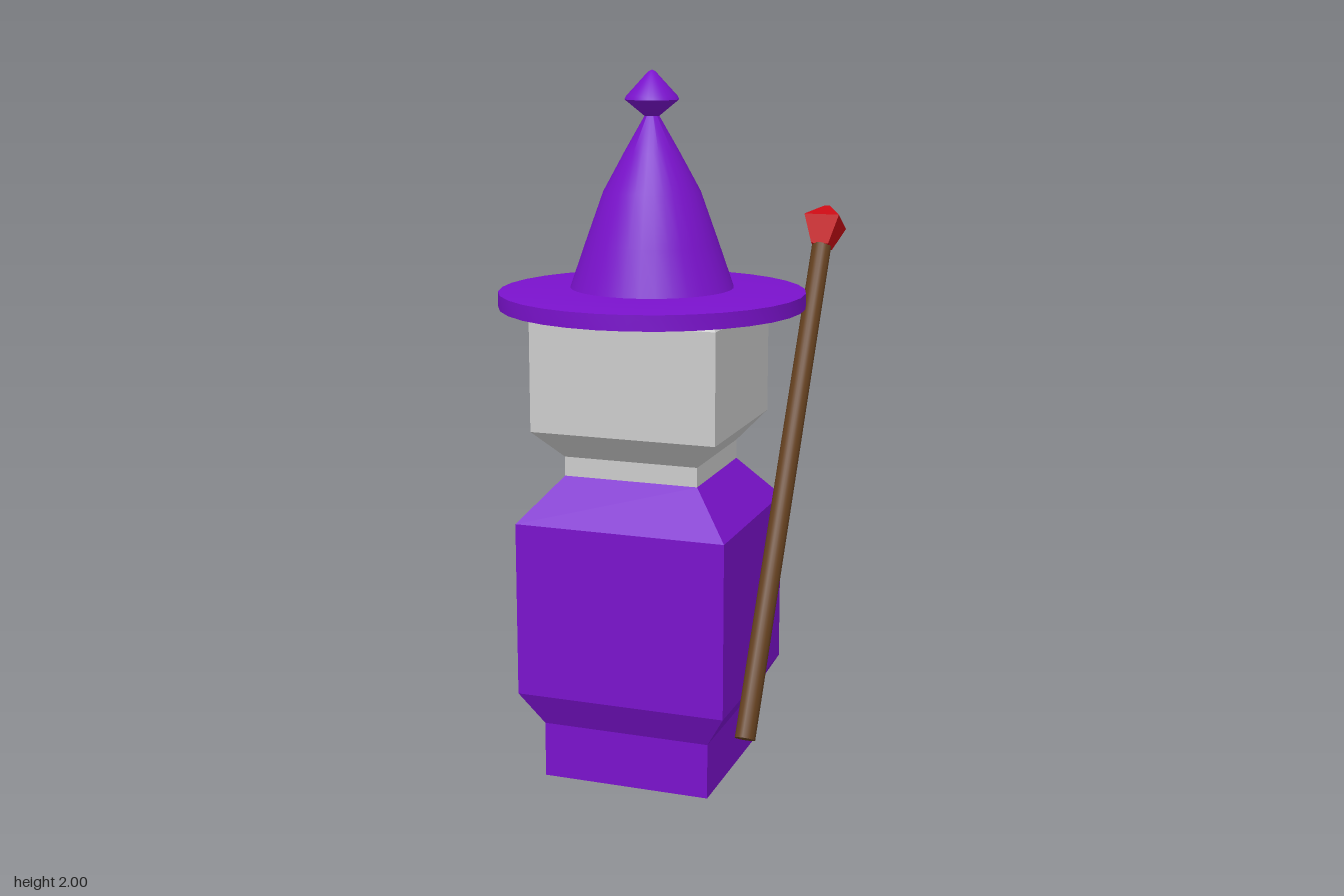
import * as THREE from 'three';
import { toCreasedNormals } from 'three/addons/utils/BufferGeometryUtils.js';

const material = (color, flatShading = true) => new THREE.MeshStandardMaterial({ color, flatShading });
const purple = material(0x7a12cc);
const purpleSmooth = material(0x7a12cc, false);
const grey = material(0xcccccc);
const black = material(0x0a0a0a);
const red = material(0xc80a14);
const lipRed = material(0xb02010);
const wood = material(0x64401f, false);

// Stacks rectangular sections [y, halfWidth, zBack, zFront, xCentre] into a closed solid.
function loft(sections) {
  const positions = [];
  const rings = sections.map(([y, h, z0, z1, x = 0]) =>
    [[x - h, y, z1], [x + h, y, z1], [x + h, y, z0], [x - h, y, z0]]);
  const quad = (a, b, c, d) => positions.push(...a, ...b, ...c, ...a, ...c, ...d);
  for (let k = 0; k < rings.length - 1; k++) {
    for (let i = 0; i < 4; i++) {
      const j = (i + 1) % 4;
      quad(rings[k][i], rings[k][j], rings[k + 1][j], rings[k + 1][i]);
    }
  }
  quad(...[...rings[0]].reverse());
  quad(...rings[rings.length - 1]);
  const geometry = new THREE.BufferGeometry();
  geometry.setAttribute('position', new THREE.Float32BufferAttribute(positions, 3));
  geometry.computeVertexNormals();
  return geometry;
}

function lathe(points, segments = 32) {
  const profile = points.map(([r, y]) => new THREE.Vector2(r, y));
  return toCreasedNormals(new THREE.LatheGeometry(profile, segments), 0.7);
}

function rectangle(PathType, x0, x1, y0, y1) {
  const path = new PathType();
  path.moveTo(x0, y0);
  path.lineTo(x1, y0);
  path.lineTo(x1, y1);
  path.lineTo(x0, y1);
  path.closePath();
  return path;
}

export function createModel() {
  const model = new THREE.Group();
  const add = (name, geometry, mat, parent = model) => {
    const mesh = new THREE.Mesh(geometry, mat);
    mesh.name = name;
    parent.add(mesh);
    return mesh;
  };

  // Robe: narrow foot, wide trunk, sloping shoulders
  add('robe', loft([
    [0, 0.245, -0.125, 0.33], [0.16, 0.245, -0.125, 0.33],
    [0.26, 0.305, -0.175, 0.38], [0.76, 0.305, -0.175, 0.38],
    [0.885, 0.195, -0.08, 0.28],
  ]), purple);

  // Neck, jaw and skull; the face looks towards -z
  const head = new THREE.Group();
  head.name = 'head';
  model.add(head);
  add('neckAndJaw', loft([
    [0.88, 0.195, -0.08, 0.28], [0.94, 0.195, -0.08, 0.28], [1.02, 0.268, -0.145, 0.35],
  ]), grey, head);
  add('skull', loft([[1.02, 0.268, -0.035, 0.35], [1.33, 0.268, -0.035, 0.35]]), grey, head);
  add('crown', loft([[1.33, 0.268, -0.145, 0.35], [1.36, 0.24, -0.115, 0.32]]), grey, head);

  // Face panel with two deep eye sockets
  const panel = rectangle(THREE.Shape, -0.268, 0.268, 1.02, 1.33);
  for (const [x0, x1] of [[-0.21, -0.03], [0.03, 0.21]]) {
    panel.holes.push(rectangle(THREE.Path, x0, x1, 1.15, 1.27));
  }
  const face = add('facePanel', new THREE.ExtrudeGeometry(panel, { depth: 0.11, bevelEnabled: false }), grey, head);
  face.position.z = -0.145;

  // Eyes at the back of the sockets, cheeks beside the mouth
  for (const side of [-1, 1]) {
    const eye = add('eye', new THREE.BoxGeometry(0.055, 0.1, 0.02), black, head);
    eye.position.set(side * 0.1, 1.2, -0.037);
    add('cheek', loft([
      [1.08, 0.035, -0.18, -0.14, side * 0.14], [1.11, 0.05, -0.205, -0.14, side * 0.145],
      [1.145, 0.05, -0.205, -0.14, side * 0.145], [1.17, 0.045, -0.15, -0.14, side * 0.145],
    ]), grey, head);
  }

  // Nose and upper lip, mouth, beard
  add('upperLip', loft([
    [1.105, 0.11, -0.2, -0.14], [1.14, 0.11, -0.2, -0.14], [1.165, 0.11, -0.15, -0.14],
  ]), grey, head);
  add('nose', loft([
    [1.11, 0.035, -0.225, -0.14], [1.14, 0.04, -0.235, -0.14], [1.23, 0.022, -0.15, -0.14],
  ]), grey, head);
  add('mouth', loft([[1.06, 0.1, -0.185, -0.14], [1.106, 0.1, -0.19, -0.14]]), lipRed, head);
  add('beard', loft([
    [0.845, 0.03, -0.145, -0.125], [0.99, 0.085, -0.165, -0.125], [1.06, 0.11, -0.175, -0.13],
  ]), black, head);

  // Hat: round brim, flared cone, pointed knob
  const hat = new THREE.Group();
  hat.name = 'hat';
  hat.position.z = 0.1;
  model.add(hat);
  add('hatBrim', lathe([[0, 1.35], [0.43, 1.35], [0.43, 1.393], [0.36, 1.4], [0.2, 1.405], [0, 1.405]]), purpleSmooth, hat);
  add('hatCone', lathe([[0.232, 1.395], [0.185, 1.53], [0.135, 1.67], [0.075, 1.78], [0.012, 1.89]]), purpleSmooth, hat);
  add('hatKnob', lathe([[0, 1.87], [0.02, 1.875], [0.075, 1.92], [0.07, 1.93], [0.01, 1.995], [0, 2]]), purpleSmooth, hat);

  // Leaning staff with a cut gem at its upper end
  const staff = new THREE.Group();
  staff.name = 'staff';
  staff.position.set(0.345, 0.18, 0.3);
  staff.rotation.x = -Math.atan2(0.74, 1.29);
  model.add(staff);
  const length = 1.485;
  const shaft = add('staffShaft',
    toCreasedNormals(new THREE.CylinderGeometry(0.029, 0.029, length, 16), 0.7), wood, staff);
  shaft.position.y = length / 2;
  const gem = add('staffGem', loft([
    [0, 0.026, -0.026, 0.026], [0.082, 0.053, -0.053, 0.053], [0.13, 0.008, -0.008, 0.008],
  ]), red, staff);
  gem.position.y = length - 0.002;

  return model;
}
